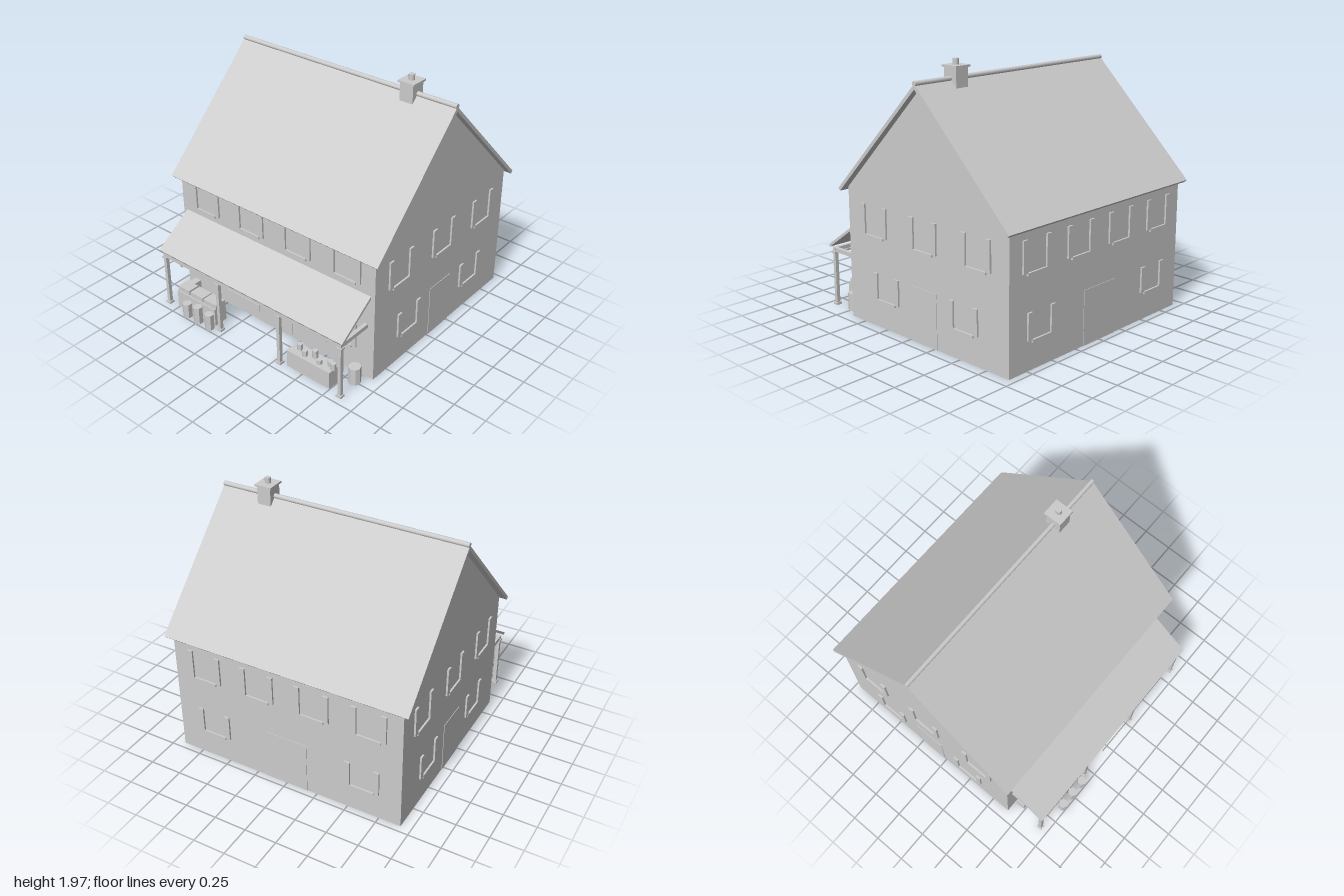
import * as THREE from 'three';

export function createModel() {
  const model = new THREE.Group();
  const stone = new THREE.MeshStandardMaterial({ color: 0xcccccc });
  stone.name = 'lightGrey';
  stone.side = THREE.DoubleSide;

  const add = (name, geo, x = 0, y = 0, z = 0, parent = model) => {
    const m = new THREE.Mesh(geo, stone);
    m.name = name;
    m.position.set(x, y, z);
    parent.add(m);
    return m;
  };
  // Box given by its lower and upper limits
  const box = (name, x0, x1, y0, y1, z0, z1, parent = model) =>
    add(name, new THREE.BoxGeometry(x1 - x0, y1 - y0, z1 - z0),
      (x0 + x1) / 2, (y0 + y1) / 2, (z0 + z1) / 2, parent);
  // Upright faceted cylinder standing on height y
  const drum = (name, r, h, x, y, z, sides = 6, r2 = r) => {
    const g = new THREE.CylinderGeometry(r2, r, h, sides).toNonIndexed();
    g.computeVertexNormals();
    return add(name, g, x, y + h / 2, z);
  };

  const W = 0.92, ZF = 0.65, ZB = -0.95, ZM = -0.145, EAVE = 1.0, TOP = 1.8;

  // House shell: open underneath, with gabled sides
  add('frontWall', new THREE.PlaneGeometry(2 * W, EAVE), 0, EAVE / 2, ZF);
  add('backWall', new THREE.PlaneGeometry(2 * W, EAVE), 0, EAVE / 2, ZB).rotation.y = Math.PI;
  const gable = new THREE.Shape([[ZF, 0], [ZF, EAVE], [ZM, TOP], [ZB, EAVE], [ZB, 0]]
    .map(([z, y]) => new THREE.Vector2(-z, y)));
  for (const s of [-1, 1]) {
    add(s > 0 ? 'leftGable' : 'rightGable', new THREE.ShapeGeometry(gable), s * W).rotation.y = Math.PI / 2;
  }

  // Main roof slabs, cut square at the eaves
  const roofSection = (points, width, name) => {
    const shape = new THREE.Shape(points.map(([z, y]) => new THREE.Vector2(-z, y)));
    const g = new THREE.ExtrudeGeometry(shape, { depth: width, bevelEnabled: false });
    add(name, g, -width / 2).rotation.y = Math.PI / 2;
  };
  roofSection([[ZM, 1.837], [0.703, 0.989], [0.685, 0.971], [ZM, 1.801]], 1.94, 'frontRoof');
  roofSection([[ZM, 1.837], [-0.993, 0.989], [-0.975, 0.971], [ZM, 1.801]], 1.94, 'backRoof');
  add('ridgeCap', new THREE.CylinderGeometry(0.018, 0.018, 1.94, 12), 0, 1.839, ZM).rotation.z = Math.PI / 2;

  // Chimney
  box('chimneyStack', 0.537, 0.647, 1.7, 1.914, -0.205, -0.086);
  box('chimneyCap', 0.524, 0.66, 1.914, 1.929, -0.218, -0.076);
  add('chimneyPot', new THREE.CylinderGeometry(0.022, 0.022, 0.045, 12), 0.592, 1.949, ZM);

  // Window surrounds: two jambs and a sill, projecting on both faces of the wall
  const wall = (name, x, z, turn) => {
    const g = new THREE.Group();
    g.name = name;
    g.position.set(x, 0, z);
    g.rotation.y = turn;
    model.add(g);
    return g;
  };
  const surround = (parent, u, y0, y1, width = 0.27) => {
    const h = width / 2;
    for (const s of [-1, 1]) {
      box('windowJamb', u + s * (h - 0.021) - 0.021, u + s * (h - 0.021) + 0.021, y0, y1, -0.014, 0.014, parent);
    }
    box('windowSill', u - h + 0.042, u + h - 0.042, y0 - 0.02, y0, -0.014, 0.014, parent);
  };
  const front = wall('frontOpenings', 0, ZF, 0);
  const back = wall('backOpenings', 0, ZB, Math.PI);
  for (const u of [-0.665, -0.222, 0.222, 0.665]) {
    surround(front, u, 0.763, 0.956);
    surround(back, u, 0.685, 0.91);
  }
  for (const u of [-0.615, 0.615]) {
    surround(front, u, 0.215, 0.41, 0.31);
    surround(back, u, 0.215, 0.41);
  }
  for (const s of [-1, 1]) {
    const side = wall(s > 0 ? 'leftOpenings' : 'rightOpenings', s * W, 0, s * Math.PI / 2);
    for (const z of [0.365, -0.148, -0.658]) surround(side, -s * z, 0.685, 0.91);
    for (const z of [0.248, -0.538]) surround(side, -s * z, 0.215, 0.41);
    box('sideDoor', s * 0.145 - 0.13, s * 0.145 + 0.13, 0, 0.41, 0, 0.004, side);
  }
  for (const w of [front, back]) box('door', -0.17, 0.17, 0, 0.41, 0, 0.004, w);

  // Porch roof and timber frame
  roofSection([[0.65, 0.7], [0.96, 0.484], [0.949, 0.467], [0.65, 0.675]], 1.77, 'porchRoof');
  box('porchBeam', -0.865, 0.865, 0.428, 0.46, 0.915, 0.943);
  for (const x of [-0.85, -0.3, 0.295, 0.85]) {
    box('porchPost', x - 0.014, x + 0.014, 0, 0.43, 0.915, 0.943);
    box('postFoot', x - 0.022, x + 0.022, 0, 0.018, 0.907, 0.951);
    box('postHead', x - 0.022, x + 0.022, 0.415, 0.43, 0.907, 0.951);
    box('porchRafter', x - 0.014, x + 0.014, 0.428, 0.46, 0.65, 0.92);
  }
  box('hangingBoard', -0.155, 0.15, 0.41, 0.465, 0.966, 0.972);

  // Goods rails with hanging wares
  for (const [x0, x1] of [[-0.85, -0.3], [0.295, 0.85]]) box('waresRail', x0, x1, 0.43, 0.445, 0.868, 0.88);
  for (const [x, low] of [[-0.775, 0.365], [-0.745, 0.35], [-0.405, 0.37], [-0.36, 0.355], [-0.33, 0.37],
    [0.385, 0.365], [0.645, 0.37], [0.675, 0.355], [0.72, 0.365]]) {
    box('hangingWare', x - 0.011, x + 0.011, low, 0.435, 0.863, 0.885);
  }
  // Lantern
  drum('lanternBody', 0.015, 0.05, 0.228, 0.325, 0.71, 6, 0.02);
  drum('lanternTop', 0.022, 0.02, 0.228, 0.375, 0.71, 6, 0.004);
  box('lanternHook', 0.225, 0.231, 0.39, 0.44, 0.707, 0.713);
  box('lanternArm', 0.225, 0.231, 0.428, 0.438, 0.65, 0.713);

  // Crate stall with barrels in front
  box('crateStall', -0.765, -0.365, 0, 0.145, 0.805, 0.92);
  for (const [x0, x1] of [[-0.76, -0.645], [-0.63, -0.5], [-0.49, -0.36]]) box('crate', x0, x1, 0.145, 0.183, 0.815, 0.91);
  for (const [x, h] of [[-0.615, 0.12], [-0.5, 0.142], [-0.38, 0.13]]) {
    drum('barrel', 0.037, h, x, 0, 0.966);
  }
  box('smallBox', -0.83, -0.77, 0, 0.1, 0.67, 0.74);

  // Counter with pots and a barrel beside it
  box('counter', 0.355, 0.745, 0, 0.14, 0.805, 0.92);
  [[0.42, 0.19, 0.85], [0.49, 0.185, 0.88], [0.56, 0.203, 0.85], [0.625, 0.175, 0.88], [0.7, 0.183, 0.85],
    [0.74, 0.195, 0.87]].forEach(([x, top, z]) => drum('pot', 0.022, top - 0.14, x, 0.14, z));
  drum('sideBarrel', 0.047, 0.135, 0.83, 0, 0.745, 8);

  return model;
}
